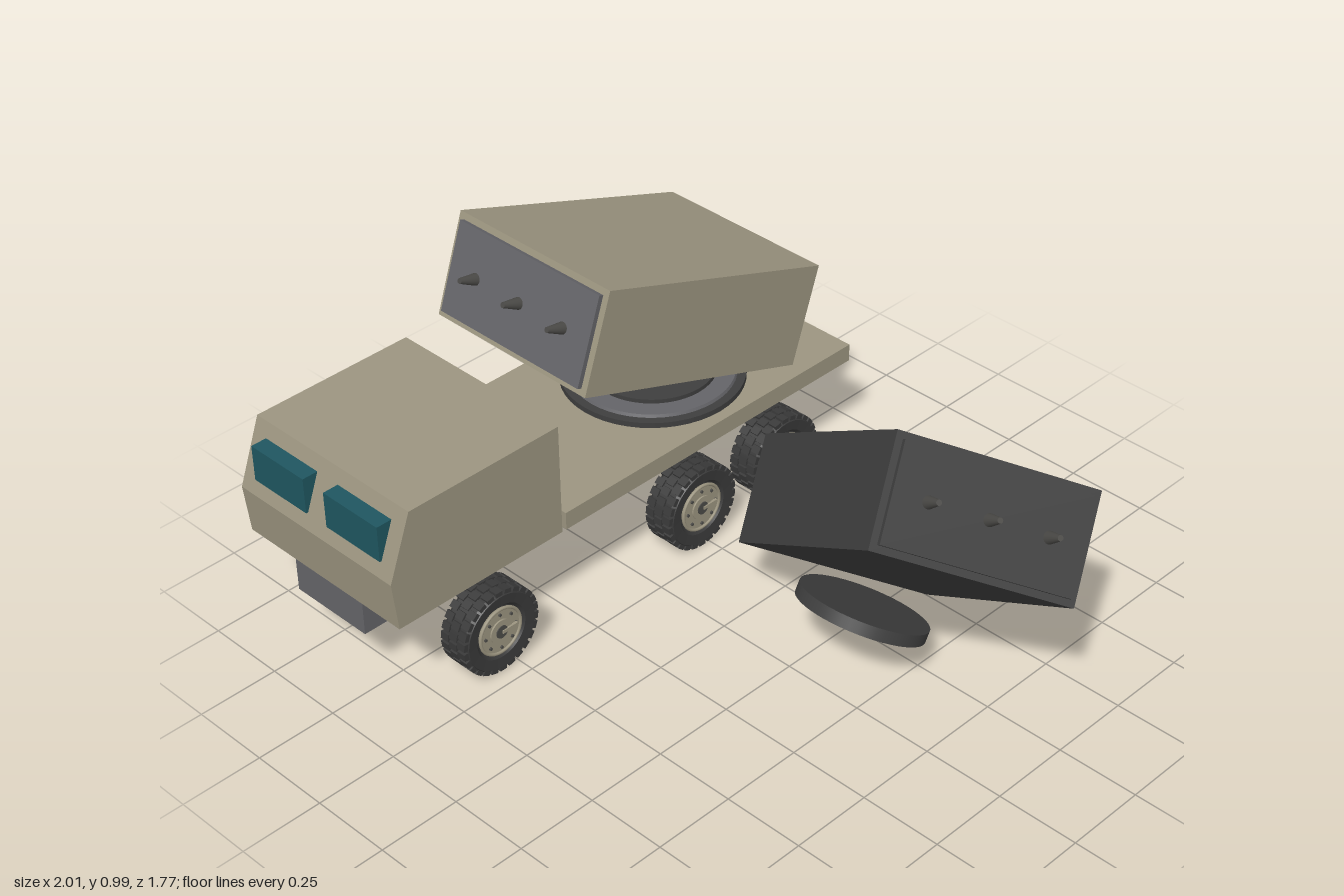
import * as THREE from 'three';
import { mergeGeometries, toCreasedNormals } from 'three/addons/utils/BufferGeometryUtils.js';

const material = (name, color) => new THREE.MeshStandardMaterial({ name, color });
const tan = material('tan paint', 0x9c9580);
const grey = material('chassis grey', 0x646468);
const dark = material('dark grey', 0x3e3e3e);
const rubber = material('tyre rubber', 0x393939);
const steel = material('dark steel', 0x4b4a47);
const glass = material('teal glass', 0x1f5660);

const TRUCK_X = -0.65;

function mesh(name, geometry, mat, x = 0, y = 0, z = 0) {
  const m = new THREE.Mesh(geometry, mat);
  m.name = name;
  m.position.set(x, y, z);
  return m;
}
const box = (name, w, h, d, mat, x, y, z) => mesh(name, new THREE.BoxGeometry(w, h, d), mat, x, y, z);

// Extrudes a side profile of [z, y] points across a width centred on x = 0
function sideExtrude(points, width) {
  const shape = new THREE.Shape(points.map(([z, y]) => new THREE.Vector2(z, y)));
  const g = new THREE.ExtrudeGeometry(shape, { depth: width, bevelEnabled: false });
  return g.rotateY(-Math.PI / 2).translate(width / 2, 0, 0);
}

// Tilted launcher box on its turning plate; origin at the plate's underside
function makeLauncher(name, bodyMat, panelMat) {
  const g = new THREE.Group();
  g.name = name;
  g.add(mesh('turningPlate', new THREE.CylinderGeometry(0.19, 0.19, 0.036, 48), dark, 0, 0.018, 0));
  const pod = new THREE.Group();
  pod.name = 'launcherPod';
  pod.position.set(0, 0.326, 0.08);
  pod.rotation.x = -THREE.MathUtils.degToRad(19.5);
  pod.add(box('podBody', 0.595, 0.312, 0.875, bodyMat, 0, 0, 0));
  pod.add(box('frontPanel', 0.555, 0.272, 0.015, panelMat, 0, 0, 0.445));
  for (const x of [-0.175, 0, 0.175]) {
    const cone = new THREE.CylinderGeometry(0.008, 0.018, 0.06, 16).rotateX(Math.PI / 2);
    pod.add(mesh('frontSpike', cone, steel, x, 0, 0.482));
  }
  g.add(pod);
  return g;
}

// Tyre body with recessed outer face, axis along x, outside at +x
const tyreProfile = [[0, -0.05], [0.12, -0.05], [0.129, -0.038], [0.129, 0.038], [0.12, 0.05],
  [0.088, 0.047], [0.078, 0.036], [0, 0.036]].map(([r, y]) => new THREE.Vector2(r, y));
const tyreGeometry = toCreasedNormals(
  new THREE.LatheGeometry(tyreProfile, 40).rotateZ(-Math.PI / 2), 0.5);

// Three staggered rows of tread blocks around the tyre
function treadGeometry() {
  const blocks = [];
  const count = 26;
  [-0.033, 0, 0.033].forEach((x, row) => {
    for (let i = 0; i < count; i++) {
      const block = new THREE.BoxGeometry(0.029, 0.014, 0.023);
      block.translate(x, 0.1285, 0);
      block.rotateX(((i + (row === 1 ? 0.5 : 0)) / count) * Math.PI * 2);
      blocks.push(block);
    }
  });
  return mergeGeometries(blocks);
}
const tread = treadGeometry();
const disc = (r, depth, sides = 24) => new THREE.CylinderGeometry(r, r, depth, sides).rotateZ(-Math.PI / 2);

function makeWheel(x, z, side) {
  const g = new THREE.Group();
  g.name = 'wheel';
  g.add(mesh('tyre', tyreGeometry, rubber), mesh('tread', tread, rubber));
  g.add(mesh('rim', disc(0.074, 0.008, 32), tan, 0.039, 0, 0));
  g.add(mesh('rimRing', new THREE.TorusGeometry(0.073, 0.005, 8, 32).rotateY(Math.PI / 2), tan, 0.043, 0, 0));
  g.add(mesh('hub', disc(0.038, 0.008), tan, 0.044, 0, 0));
  g.add(mesh('hubCap', disc(0.02, 0.01), steel, 0.046, 0, 0));
  g.add(box('hubLever', 0.008, 0.01, 0.055, tan, 0.05, 0, -0.028));
  for (let i = 0; i < 8; i++) {
    const a = (i / 8) * Math.PI * 2;
    g.add(mesh('wheelNut', disc(0.005, 0.006, 6), steel, 0.045, 0.056 * Math.sin(a), 0.056 * Math.cos(a)));
  }
  g.position.set(x, 0.14, z);
  if (side < 0) g.rotation.y = Math.PI;
  return g;
}

function makeTruck() {
  const truck = new THREE.Group();
  truck.name = 'truck';
  truck.position.x = TRUCK_X;

  // Cab with sloped windscreen face
  truck.add(mesh('cab', sideExtrude(
    [[0.287, 0.313], [0.873, 0.313], [0.889, 0.468], [0.812, 0.667], [0.287, 0.667]], 0.62), tan));
  for (const s of [-1, 1]) truck.add(box('windscreen', 0.216, 0.112, 0.055, glass, s * 0.15, 0.568, 0.851));

  // Chassis beam and flat bed
  truck.add(box('chassis', 0.28, 0.121, 1.745, grey, 0, 0.2515, -0.0125));
  truck.add(box('bed', 0.62, 0.056, 1.157, tan, 0, 0.341, -0.3065));

  // Ring on the bed carrying the launcher
  truck.add(mesh('bedRing', new THREE.CylinderGeometry(0.275, 0.275, 0.018, 48), dark, 0, 0.377, -0.37));
  truck.add(mesh('bedRingTop', new THREE.CylinderGeometry(0.245, 0.25, 0.012, 48), grey, 0, 0.389, -0.37));

  for (const z of [0.557, -0.222, -0.57])
    for (const s of [-1, 1]) truck.add(makeWheel(s * 0.3, z, s));

  const launcher = makeLauncher('mountedLauncher', tan, grey);
  launcher.position.set(0, 0.372, -0.37);
  truck.add(launcher);
  return truck;
}

export function createModel() {
  const model = new THREE.Group();
  model.name = 'launcherTruck';
  model.add(makeTruck());

  // Detached dark launcher, tipped over beside the truck
  const spare = makeLauncher('detachedLauncher', dark, dark);
  const up = new THREE.Vector3(0, 0.866, -0.5).normalize();
  const forward = new THREE.Vector3(0.83, 0.2785, 0.482);
  const across = new THREE.Vector3().crossVectors(up, forward).normalize();
  forward.crossVectors(across, up);
  spare.quaternion.setFromRotationMatrix(new THREE.Matrix4().makeBasis(across, up, forward));
  spare.position.set(0.385, 0.18, -0.134);
  model.add(spare);
  return model;
}
